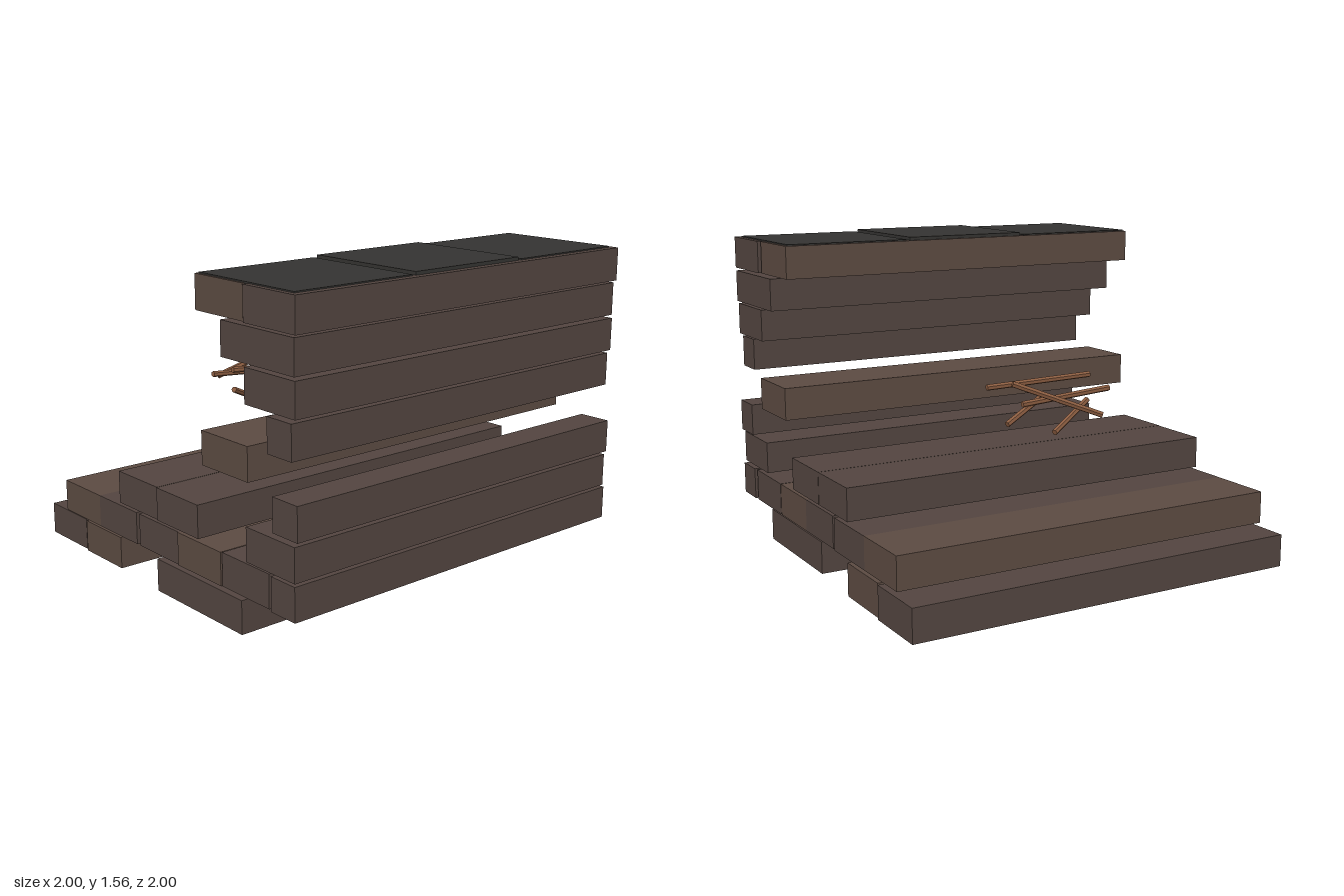
import * as THREE from 'three';

const mat = (color) => new THREE.MeshStandardMaterial({ color, flatShading: true });

export function createModel() {
  const model = new THREE.Group();
  model.name = 'ruinedPlankWall';
  const darkWood = mat(0x52443f), lightWood = mat(0x5b4a41);
  const slate = mat(0x343331), twigWood = mat(0x8a5c40);

  const add = (name, geometry, material, position, rotation = [0, 0, 0]) => {
    const mesh = new THREE.Mesh(geometry, material);
    mesh.name = name;
    mesh.position.set(...position);
    mesh.rotation.set(...rotation);
    model.add(mesh);
    return mesh;
  };

  // Box given by its limits on each axis
  const block = (name, material, x0, x1, y0, y1, z0, z1) =>
    add(name, new THREE.BoxGeometry(x1 - x0, y1 - y0, z1 - z0), material,
      [(x0 + x1) / 2, (y0 + y1) / 2, (z0 + z1) / 2]);

  // Courses of long beams from bottom to top: [x0, x1, z0, z1, light?]
  const courses = [
    [[-1, -0.675, -1, 0.97], [-0.655, -0.34, -0.99, 0.98, 1], [0.005, 0.325, -0.97, 1], [0.325, 0.645, -0.97, 1]],
    [[-0.83, -0.51, -0.985, 0.985, 1], [-0.51, -0.185, -0.985, 0.985], [-0.16, 0.16, -0.98, 0.985],
      [0.16, 0.485, -0.98, 0.99, 1], [0.49, 0.815, -0.98, 0.985], [0.84, 0.995, -0.985, 0.995]],
    [[-0.325, -0.003, -0.98, 0.985], [0, 0.32, -0.98, 0.99], [0.675, 0.995, -0.975, 0.995]],
    [[0.835, 0.995, -0.99, 0.98]],
    [[0.335, 0.66, -1, 0.97, 1]],
    [[0.83, 0.985, -0.97, 1]],
    [[0.665, 0.99, -0.985, 0.985]],
    [[0.5, 0.98, -0.995, 0.98]],
    [[0.32, 0.65, -0.98, 0.975, 1], [0.67, 1, -0.99, 0.99]],
  ];
  courses.forEach((beams, row) => {
    const y = 0.022 + row * 0.17;
    beams.forEach(([x0, x1, z0, z1, light]) =>
      block('beam', light ? lightWood : darkWood, x0, x1, y, y + 0.157, z0, z1));
  });

  // Slate capping plates, the middle one slightly raised
  [[-0.965, -0.34, 1.545], [-0.32, 0.315, 1.555], [0.335, 0.965, 1.545]].forEach(([z0, z1, top]) =>
    block('capPlate', slate, 0.335, 0.965, top - 0.05, top, z0, z1));

  // Loose twigs, each running between two points
  const twigs = [
    [-0.525, 0.95, -0.245, -0.66, 0.79, 0.155],
    [-0.463, 0.75, -0.235, -0.41, 0.86, 0],
    [-0.44, 0.83, -0.14, -0.452, 0.865, 0.335],
    [-0.453, 0.68, 0.03, -0.352, 0.795, 0.28],
    [-0.25, 0.885, -0.22, -0.308, 0.91, 0.32],
  ];
  twigs.forEach((p) => {
    const a = new THREE.Vector3(...p.slice(0, 3)), b = new THREE.Vector3(...p.slice(3));
    const dir = b.clone().sub(a);
    const twig = add('twig', new THREE.CylinderGeometry(0.015, 0.015, dir.length(), 6), twigWood,
      a.clone().add(b).multiplyScalar(0.5).toArray());
    twig.quaternion.setFromUnitVectors(new THREE.Vector3(0, 1, 0), dir.normalize());
  });

  // Fallen chunk between the lowest beams
  add('fallenChunk', new THREE.BoxGeometry(0.13, 0.085, 0.13), darkWood, [-0.13, 0.073, 0.5], [0.15, 0.55, -0.18]);

  // Small chips scattered at the foot: [x, y, z, size, turn]
  const chips = [
    [-0.83, 0.026, 0.66, 0.06, 0.4], [-0.81, 0.027, 0.05, 0.04, 0.9],
    [-0.615, 0.026, -0.1, 0.04, 0.2], [-0.46, 0.033, 0.05, 0.04, 1.1],
    [-0.325, 0.04, -0.44, 0.048, 0.6], [0.05, 0.035, 0.24, 0.07, 0.3], [0.59, 0.028, -0.58, 0.05, 0.7],
  ];
  chips.forEach(([x, y, z, s, turn]) =>
    add('chip', new THREE.BoxGeometry(s, s * 0.7, s), darkWood, [x, y, z], [0.12, turn, 0.15]));

  return model;
}
